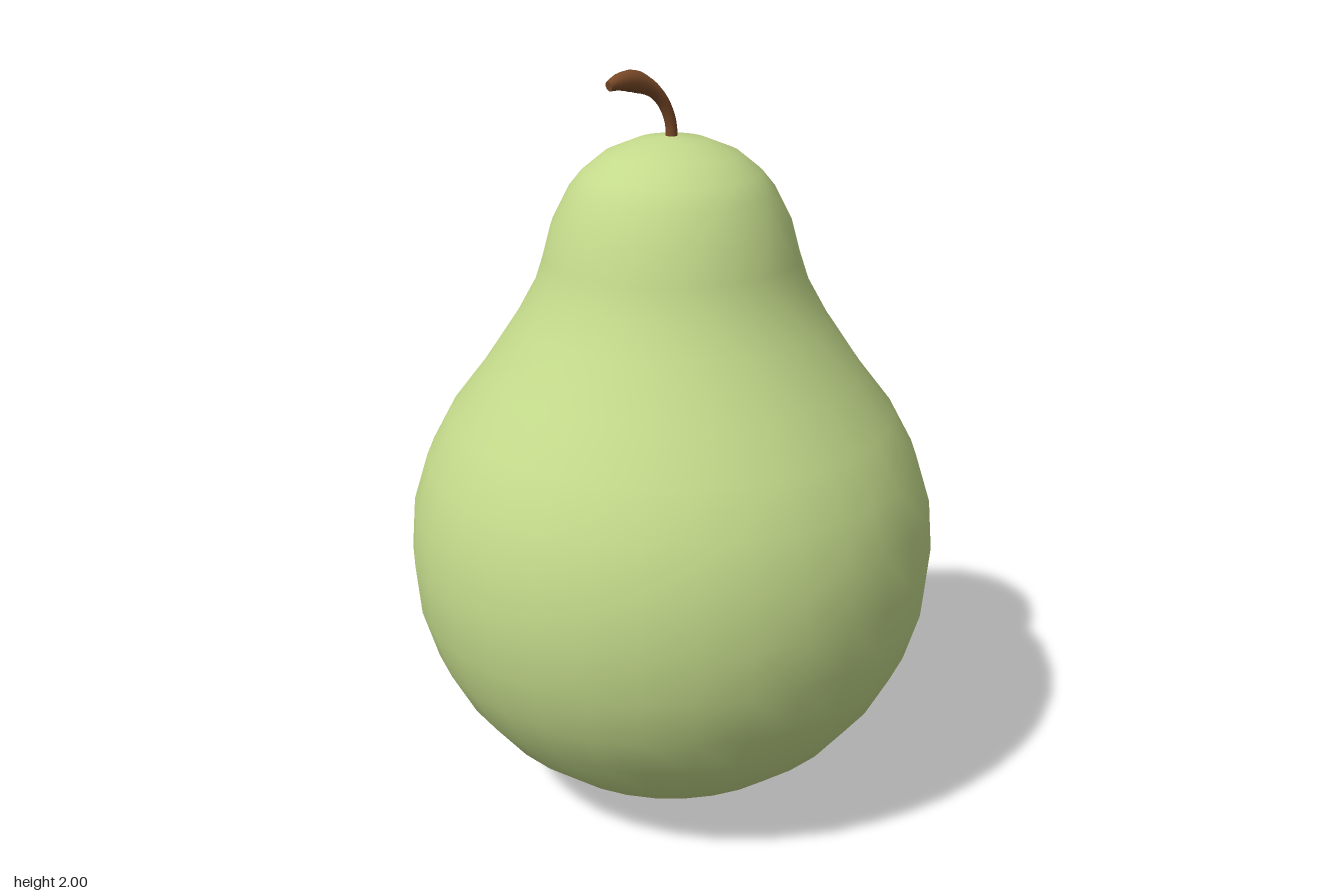
import * as THREE from 'three';

// Tube along a curve whose radius follows a list of evenly spaced values
function taperedTube(curve, radii, segments, sides) {
  const geometry = new THREE.TubeGeometry(curve, segments, 1, sides, false);
  const pos = geometry.attributes.position;
  const v = new THREE.Vector3();
  for (let i = 0; i <= segments; i++) {
    const u = i / segments;
    const centre = curve.getPointAt(u);
    const t = u * (radii.length - 1);
    const k = Math.min(Math.floor(t), radii.length - 2);
    const radius = THREE.MathUtils.lerp(radii[k], radii[k + 1], t - k);
    for (let j = 0; j <= sides; j++) {
      const n = i * (sides + 1) + j;
      v.fromBufferAttribute(pos, n).sub(centre).multiplyScalar(radius).add(centre);
      pos.setXYZ(n, v.x, v.y, v.z);
    }
  }
  return geometry;
}

export function createModel() {
  const model = new THREE.Group();
  model.name = 'pear';

  // Fruit: smooth lathe, round belly narrowing to a domed neck
  const profile = [
    [0, 0], [0.14, 0.018], [0.272, 0.058], [0.395, 0.125], [0.503, 0.212],
    [0.592, 0.322], [0.657, 0.443], [0.697, 0.577], [0.709, 0.716],
    [0.697, 0.855], [0.657, 0.982], [0.592, 1.102], [0.503, 1.217],
    [0.41, 1.355], [0.36, 1.445], [0.335, 1.52], [0.312, 1.605], [0.267, 1.693],
    [0.233, 1.735], [0.175, 1.782], [0.09, 1.817], [0, 1.828],
  ].map(([r, y]) => new THREE.Vector2(r, y));
  const fruit = new THREE.Mesh(
    new THREE.LatheGeometry(profile, 32),
    new THREE.MeshStandardMaterial({ color: 0xc3d98a })
  );
  fruit.name = 'fruit';
  model.add(fruit);

  // Stem: bends to the side and swells before its blunt tip
  const path = new THREE.CatmullRomCurve3([
    [0, 1.8], [-0.004, 1.86], [-0.027, 1.912], [-0.068, 1.952],
    [-0.125, 1.975], [-0.165, 1.976], [-0.196, 1.968],
  ].map(([x, y]) => new THREE.Vector3(x, y, 0)));
  const radii = [0.015, 0.015, 0.015, 0.015, 0.016, 0.018, 0.022, 0.027, 0.027, 0.021, 0.013];
  const stemMaterial = new THREE.MeshStandardMaterial({ color: 0x7a4a28 });
  const stem = new THREE.Mesh(taperedTube(path, radii, 20, 12), stemMaterial);
  stem.name = 'stem';
  model.add(stem);

  // Flat cap closing the stem tip
  const tip = new THREE.Mesh(new THREE.CircleGeometry(0.013, 12), stemMaterial);
  tip.name = 'stemTip';
  const end = path.getPointAt(1);
  tip.position.copy(end);
  tip.lookAt(end.clone().add(path.getTangentAt(1)));
  model.add(tip);

  return model;
}
